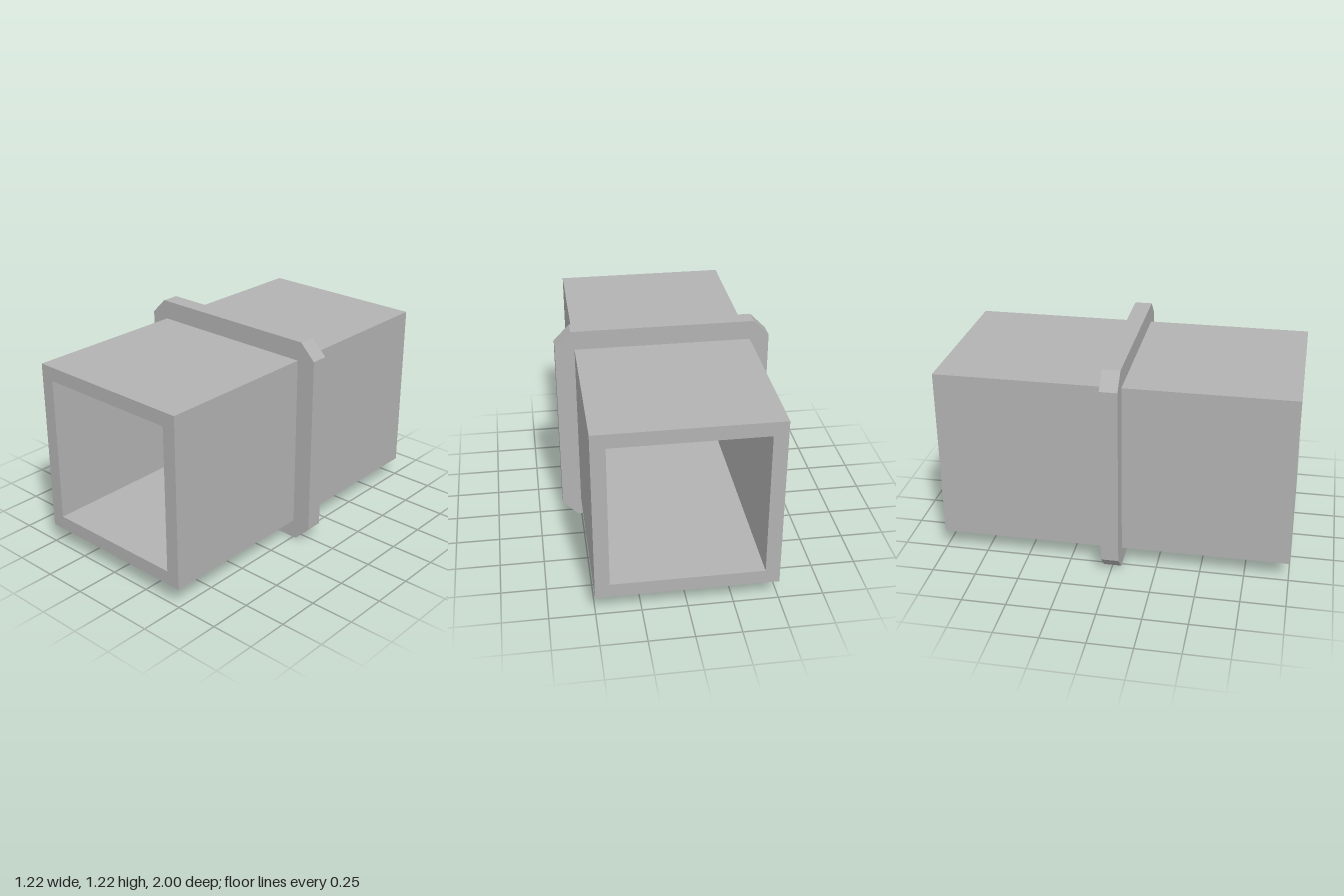
import * as THREE from 'three';

const CENTRE_Y = 0.61;

// Square outline with corners optionally cut at 45 degrees
function squareOutline(half, cut = 0) {
  const points = [];
  for (let i = 0; i < 4; i++) {
    const corner = cut > 0 ? [[half, half - cut], [half - cut, half]] : [[half, half]];
    for (const [x, y] of corner) {
      points.push(new THREE.Vector2(x, y).rotateAround(new THREE.Vector2(), i * Math.PI / 2));
    }
  }
  return points;
}

// Hollow square section, extruded along z and centred on z = 0
function hollowSection(name, outer, cut, inner, length, material) {
  const shape = new THREE.Shape(squareOutline(outer, cut));
  shape.holes.push(new THREE.Path(squareOutline(inner).reverse()));
  const geometry = new THREE.ExtrudeGeometry(shape, { depth: length, bevelEnabled: false });
  geometry.translate(0, CENTRE_Y, -length / 2);
  const mesh = new THREE.Mesh(geometry, material);
  mesh.name = name;
  return mesh;
}

export function createModel() {
  const group = new THREE.Group();
  group.name = 'squareDuct';
  const grey = new THREE.MeshStandardMaterial({ color: 0xb2b2b2 });
  grey.name = 'grey';

  // Open square tube
  group.add(hollowSection('tube', 0.5, 0, 0.42, 2, grey));
  // Raised collar with chamfered corners, seated slightly into the tube wall
  group.add(hollowSection('collar', 0.61, 0.09, 0.49, 0.1, grey));
  return group;
}
